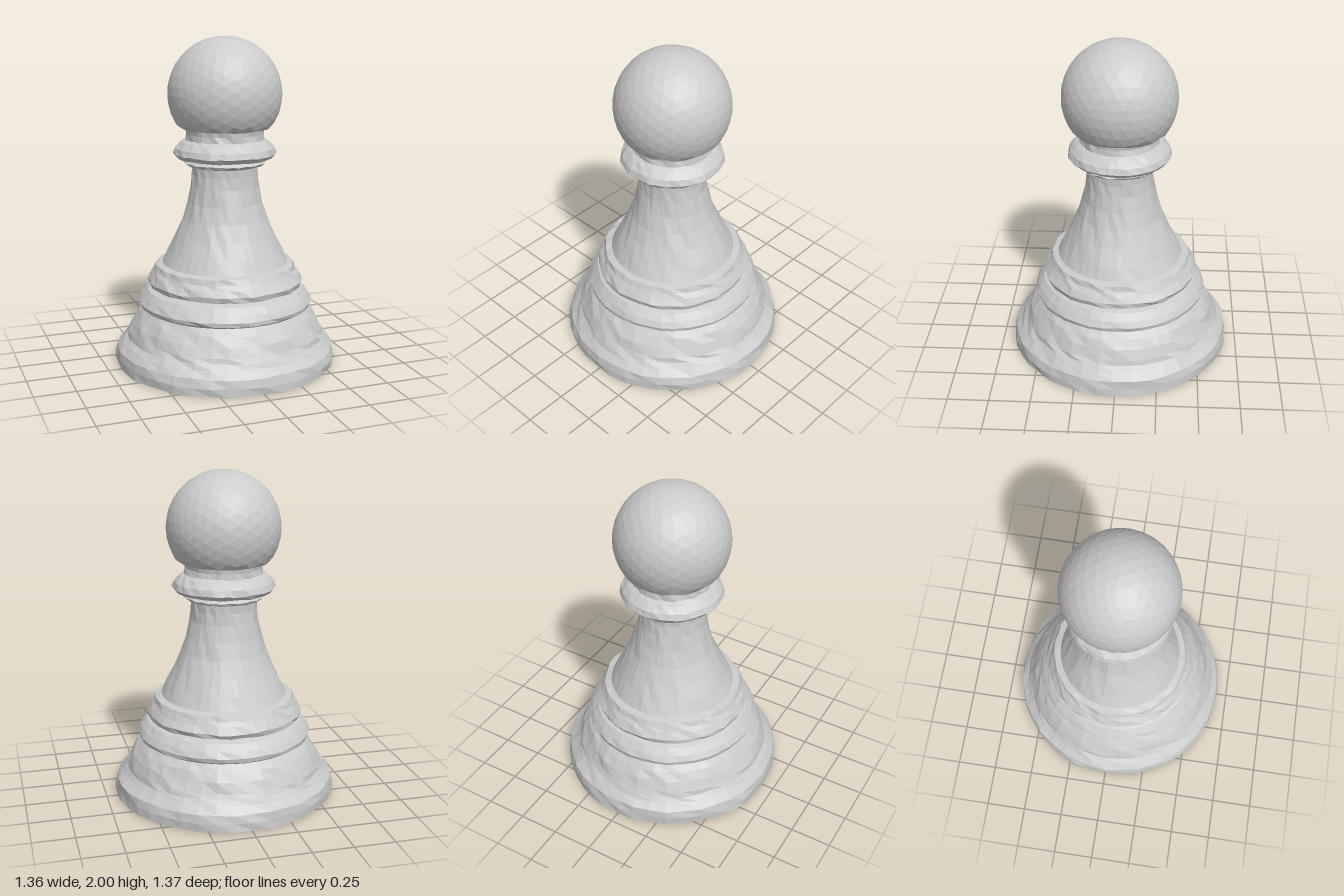
import * as THREE from 'three';

const SEGMENTS = 40;

// Repeatable value in -0.5..0.5
function noise(i, j) {
  const s = Math.sin(i * 127.1 + j * 311.7) * 43758.5453;
  return s - Math.floor(s) - 0.5;
}

// Turned ring from [radius, height] pairs, with a slightly rough hand-cut surface
function turned(name, profile, material, roughness) {
  const geometry = new THREE.LatheGeometry(profile.map(([r, y]) => new THREE.Vector2(r, y)), SEGMENTS);
  const pos = geometry.attributes.position;
  const n = profile.length;
  for (let k = 0; k < pos.count; k++) {
    const j = k % n;
    if (j === 0 || j === n - 1) continue; // ends stay clean so parts meet
    const i = Math.floor(k / n) % SEGMENTS; // last column matches the first
    const r = profile[j][0];
    const scale = 1 + (noise(i, j + r * 10) * roughness) / r;
    pos.setX(k, pos.getX(k) * scale);
    pos.setZ(k, pos.getZ(k) * scale);
    pos.setY(k, pos.getY(k) + noise(i + 50, j + r * 10) * roughness * 0.6);
  }
  geometry.computeVertexNormals();
  const mesh = new THREE.Mesh(geometry, material);
  mesh.name = name;
  return mesh;
}

export function createModel() {
  const group = new THREE.Group();
  group.name = 'pawn';
  const grey = new THREE.MeshStandardMaterial({ color: 0xcccccc, flatShading: true });

  // Wide foot with closed underside
  group.add(turned('foot', [
    [0.001, 0], [0.68, 0], [0.682, 0.05], [0.672, 0.1], [0.635, 0.14], [0.612, 0.17],
    [0.598, 0.2], [0.572, 0.26], [0.54, 0.31], [0.505, 0.35],
  ].map(([r, y], i) => (i === 0 ? [0, 0] : [r, y])), grey, 0.014));

  // Two stacked mouldings
  group.add(turned('lowerMoulding', [
    [0.505, 0.35], [0.53, 0.365], [0.535, 0.39], [0.515, 0.425], [0.48, 0.465], [0.435, 0.48],
  ], grey, 0.008));
  group.add(turned('upperMoulding', [
    [0.435, 0.48], [0.47, 0.49], [0.478, 0.52], [0.455, 0.56], [0.437, 0.585],
    [0.425, 0.615], [0.385, 0.625],
  ], grey, 0.014));

  // Flared stem
  group.add(turned('stem', [
    [0.385, 0.625], [0.35, 0.7], [0.302, 0.8], [0.258, 0.9], [0.228, 1.0],
    [0.208, 1.1], [0.2, 1.17], [0.2, 1.23],
  ], grey, 0.01));

  // Collar with a thin lip below the main bead
  group.add(turned('collar', [
    [0.2, 1.22], [0.235, 1.23], [0.247, 1.245], [0.225, 1.262], [0.29, 1.275], [0.312, 1.3],
    [0.3, 1.335], [0.265, 1.37], [0.238, 1.385], [0.234, 1.42], [0.24, 1.47],
  ], grey, 0.01));

  // Faceted ball, flattened where it meets the neck
  const ball = new THREE.IcosahedronGeometry(0.345, 5);
  const pos = ball.attributes.position;
  for (let k = 0; k < pos.count; k++) pos.setY(k, Math.max(pos.getY(k), -0.205));
  ball.computeVertexNormals();
  const head = new THREE.Mesh(ball, grey);
  head.name = 'head';
  head.position.y = 1.655;
  group.add(head);

  return group;
}
